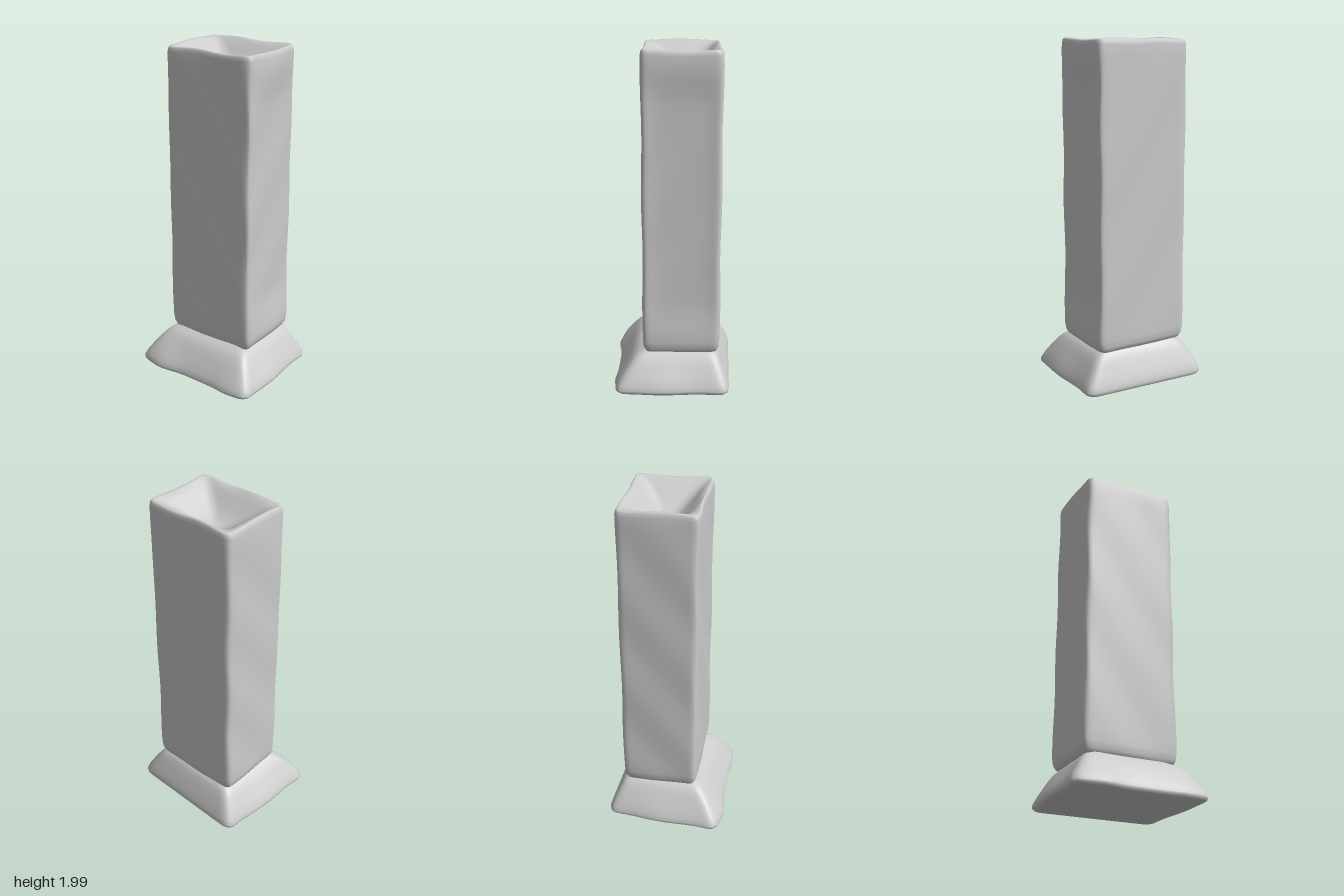
import * as THREE from 'three';

const SIDE = 20; // points along each side of a section

// Point i of a rounded square spanning -1..1, counter-clockwise from above
function squarePoint(i, r) {
  const side = Math.floor(i / SIDE), t = (i % SIDE) / SIDE;
  const s = Math.sin((t - 0.5) * Math.PI); // denser near the corners
  let u = 1, v = s;
  // round the corners by pulling them onto an arc
  const over = Math.abs(v) - (1 - r);
  if (over > 0) {
    const len = Math.hypot(r, over);
    u = 1 - r + (r * r) / len;
    v = Math.sign(v) * (1 - r + (over * r) / len);
  }
  const a = side * Math.PI / 2;
  return [Math.cos(a) * u - Math.sin(a) * v, Math.sin(a) * u + Math.cos(a) * v];
}

// Skin through sections { y, q: [backLeft, backRight, frontRight, frontLeft], k, r }
// k shrinks the section about its middle; warp nudges each point
function loft(name, sections, warp) {
  const n = SIDE * 4, pos = [], idx = [];
  sections.forEach(({ y, q, k = 1, r = 0.14 }) => {
    for (let i = 0; i < n; i++) {
      const [a, b] = squarePoint(i, r);
      const u = (a * k + 1) / 2, v = (-b * k + 1) / 2;
      const mix = c => (1 - v) * ((1 - u) * q[0][c] + u * q[1][c]) + v * ((1 - u) * q[3][c] + u * q[2][c]);
      const p = new THREE.Vector3(mix(0), y, mix(1));
      warp(p, a, -b, k);
      pos.push(p.x, p.y, p.z);
    }
  });
  for (let j = 0; j < sections.length - 1; j++) {
    for (let i = 0; i < n; i++) {
      const a = j * n + i, b = j * n + (i + 1) % n;
      idx.push(a, b, a + n, b, b + n, a + n);
    }
  }
  const g = new THREE.BufferGeometry();
  g.setAttribute('position', new THREE.Float32BufferAttribute(pos, 3));
  g.setIndex(idx);
  g.computeVertexNormals();
  const mesh = new THREE.Mesh(g, new THREE.MeshStandardMaterial({ color: 0xcccccc }));
  mesh.name = name;
  return mesh;
}

export function createModel() {
  const group = new THREE.Group();
  group.name = 'pedestal';

  // Column: slightly twisted box with a scooped top
  const q = [[-0.298, -0.277], [0.28, -0.298], [0.301, 0.152], [-0.284, 0.17]];
  const column = [
    [0.22, 0.001], [0.22, 0.85], [0.235, 0.94], [0.26, 0.985], [0.3, 1],
  ].map(([y, k]) => ({ y, q, k }));
  for (let y = 0.36; y < 1.94; y += 0.05) column.push({ y, q });
  column.push({ y: 1.965, q, k: 0.995 }, { y: 1.985, q, k: 0.98 }, { y: 1.994, q, k: 0.955 }, { y: 1.994, q, k: 0.92 });
  // scoop, running inward from the rim
  for (let i = 1; i <= 12; i++) {
    const k = 0.92 * (1 - i / 12) + 0.001;
    const t = k / 0.92;
    column.push({ y: 1.994 - 0.14 * (1 - t * t) ** 1.5, q, k, r: 0.14 + 0.6 * (1 - t) });
  }
  group.add(loft('column', column, (p, a, b, k) => {
    if (k < 0.9) return;
    const span = THREE.MathUtils.smoothstep(p.y, 0.3, 0.55) * (1 - THREE.MathUtils.smoothstep(p.y, 1.7, 1.92));
    // shallow hollow in the side panel, faint unevenness elsewhere
    if (a > 0.95) p.x -= 0.018 * span * (1 - b ** 4);
    p.x += 0.003 * Math.sin(p.y * 11 + b * 3) * Math.sign(a) * Math.abs(a) ** 6;
    p.z += 0.003 * Math.sin(p.y * 9 + a * 4) * Math.sign(b) * Math.abs(b) ** 6;
    if (p.y > 1.95) p.y += 0.004 * Math.sin(a * 5 + b * 3);
  }));

  // Base: flared foot leaning in to the column
  const foot = [[-0.387, -0.36], [0.385, -0.357], [0.41, 0.325], [-0.412, 0.335]];
  const neck = [[-0.25, -0.255], [0.25, -0.265], [0.26, 0.15], [-0.25, 0.165]];
  const blend = t => foot.map((c, i) => [0, 1].map(m => c[m] + (neck[i][m] - c[m]) * t));
  const base = [
    [0.006, 0, 0.001], [0.004, 0, 0.5], [0.005, 0, 0.9], [0.01, 0, 0.97], [0.02, 0, 0.995],
    [0.035, 0, 1], [0.06, 0.07, 1], [0.09, 0.18, 1], [0.12, 0.31, 1], [0.15, 0.44, 1],
    [0.18, 0.58, 1], [0.205, 0.71, 1], [0.222, 0.84, 1], [0.235, 1, 1], [0.245, 1, 0.93], [0.245, 1, 0.001],
  ].map(([y, t, k]) => ({ y, q: blend(t), k, r: 0.16 }));
  group.add(loft('base', base, (p, a, b, k) => {
    if (k < 0.9) return;
    const low = 1 - THREE.MathUtils.smoothstep(p.y, 0.03, 0.22);
    // wavy lower edge, bulging towards the front corners
    if (b > 0.8) p.z += low * (-0.012 + 0.025 * Math.exp(-(((p.x + 0.24) / 0.1) ** 2)) + 0.01 * Math.exp(-(((p.x - 0.25) / 0.06) ** 2)));
    if (Math.abs(a) > 0.8) p.x += low * 0.006 * Math.sin(p.z * 14 + a);
  }));

  return group;
}
